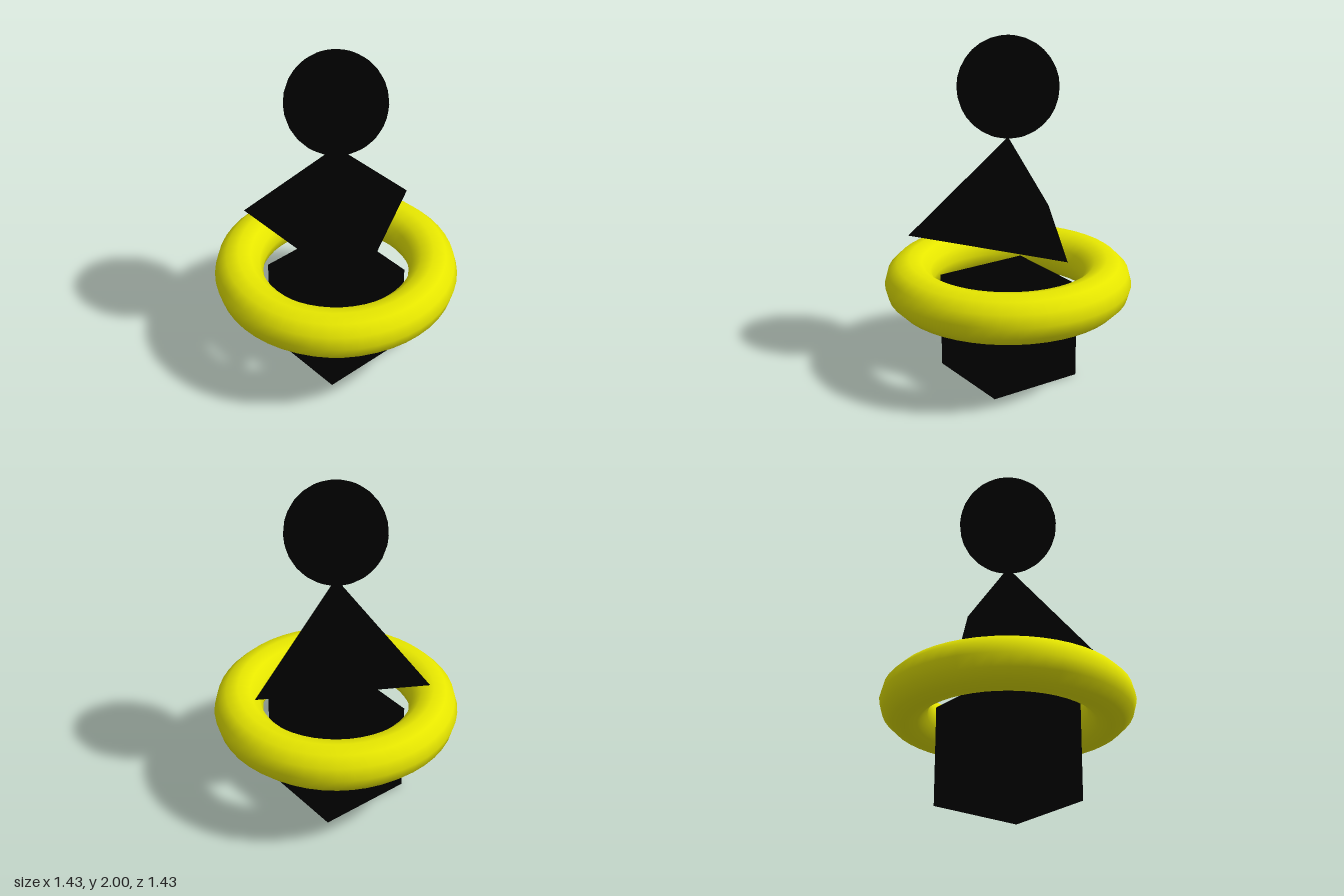
import * as THREE from 'three';

// Base unit: edge of the cube
const U = 2 / 3.5;

export function createModel() {
  const model = new THREE.Group();
  model.name = 'stackedShapes';

  const black = new THREE.MeshStandardMaterial({ color: 0x000000 });
  const blackFlat = new THREE.MeshStandardMaterial({ color: 0x000000, flatShading: true });
  const yellow = new THREE.MeshStandardMaterial({ color: 0xe6e600 });

  const add = (name, geometry, material, y) => {
    const mesh = new THREE.Mesh(geometry, material);
    mesh.name = name;
    mesh.position.y = y;
    model.add(mesh);
    return mesh;
  };

  // Cube standing on the ground
  add('baseCube', new THREE.BoxGeometry(U, U, U), black, U / 2);

  // Horizontal ring around the top of the cube
  const ring = new THREE.TorusGeometry(U, U / 4, 12, 48).rotateX(-Math.PI / 2);
  add('ring', ring, yellow, U);

  // Three-sided pyramid with one corner pointing back
  const pyramid = new THREE.ConeGeometry(U, U, 3).rotateY(Math.PI);
  add('pyramid', pyramid, blackFlat, 2 * U);

  // Ball balanced on the tip
  add('ball', new THREE.SphereGeometry(U / 2, 32, 16), black, 3 * U);

  return model;
}
